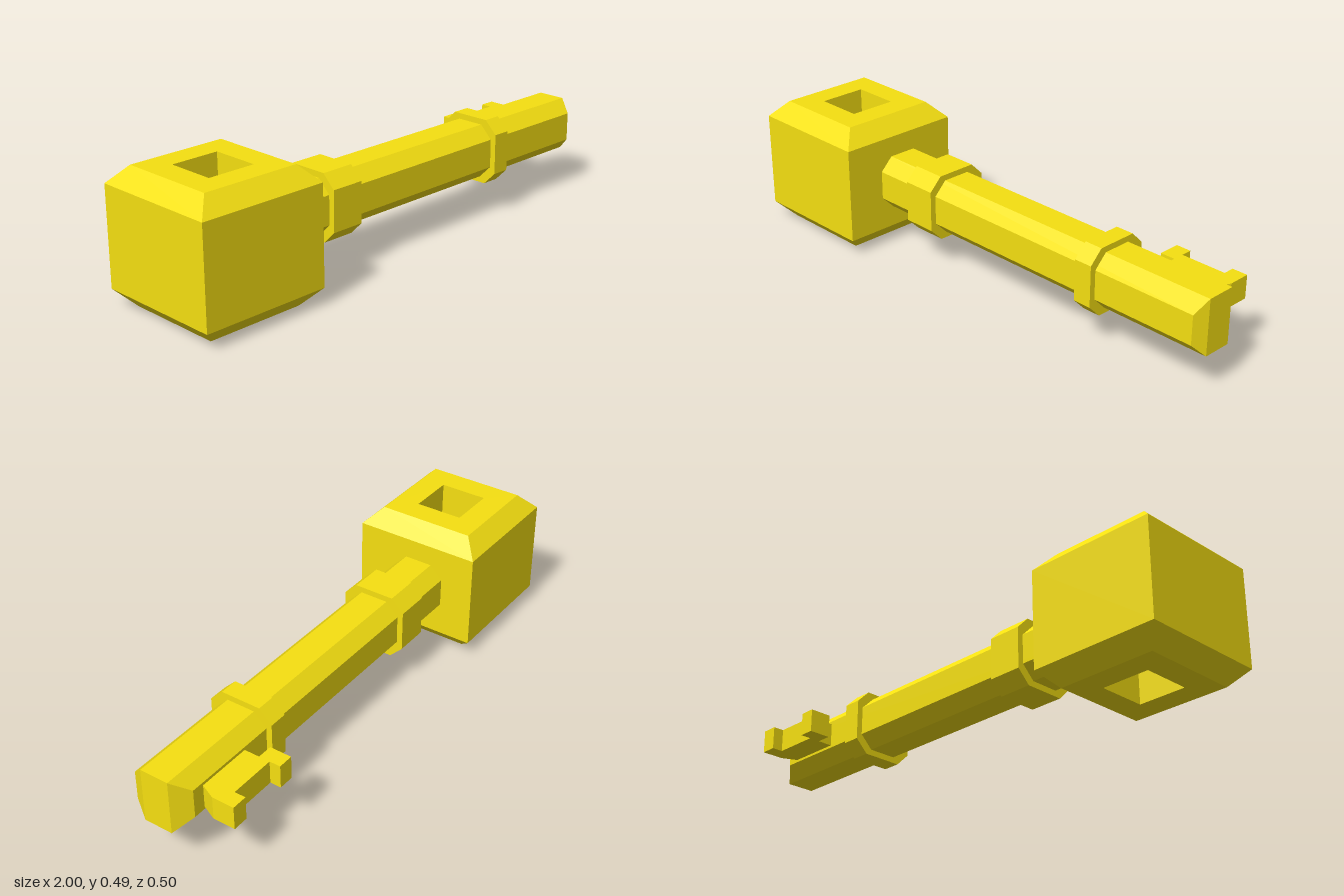
import * as THREE from 'three';
import { ConvexGeometry } from 'three/addons/geometries/ConvexGeometry.js';

export function createModel() {
  const group = new THREE.Group();
  const gold = new THREE.MeshStandardMaterial({ color: 0xf6e011, flatShading: true });

  const add = (name, geometry) => {
    const mesh = new THREE.Mesh(geometry, gold);
    mesh.name = name;
    group.add(mesh);
    return mesh;
  };

  // Chamfered-rectangle bar along x; cuts set back the end corners at front and back
  const bar = (x0, x1, half, chamfer, frontCut = 0, backCut = 0) => {
    const cy = 0.246, cz = -0.0065, flat = half - chamfer;
    const points = [];
    for (const sy of [-1, 1]) {
      for (const sz of [-1, 1]) {
        const y = cy + sy * half, z = cz + sz * half;
        const cut = sz > 0 ? frontCut : backCut;
        points.push(
          new THREE.Vector3(x0, y, cz + sz * flat),
          new THREE.Vector3(x1, y, cz + sz * flat),
          new THREE.Vector3(x0, cy + sy * flat, z),
          new THREE.Vector3(x1 - cut, cy + sy * flat, z),
        );
      }
    }
    return new ConvexGeometry(points);
  };

  // Square head with bevelled top and bottom and a square hole through it
  const profile = [
    [0.091, 0], [0.185, 0], [0.245, 0.063], [0.245, 0.428],
    [0.185, 0.49], [0.091, 0.49], [0.091, 0],
  ].map(([half, y]) => new THREE.Vector2(half * Math.SQRT2, y));
  const headGeometry = new THREE.LatheGeometry(profile, 4).rotateY(Math.PI / 4);
  add('head', headGeometry).position.set(-0.756, 0, 0.005);

  // Shaft and its two collars
  add('shaft', bar(-0.53, 1, 0.1035, 0.049, 0.025, 0.06));
  add('wideCollar', bar(-0.34, -0.21, 0.126, 0.049));
  add('narrowCollar', bar(0.5, 0.57, 0.126, 0.049));

  // Toothed bit at the back of the tip, drawn as x and depth behind the centre
  const outline = [
    [0.684, 0.08], [0.88, 0.08], [0.893, 0.11], [0.92, 0.168], [0.92, 0.252],
    [0.861, 0.252], [0.861, 0.21], [0.684, 0.21], [0.684, 0.252],
    [0.626, 0.252], [0.626, 0.168], [0.684, 0.168],
  ].map(([x, depth]) => new THREE.Vector2(x, depth));
  const bitGeometry = new THREE.ExtrudeGeometry(new THREE.Shape(outline), {
    depth: 0.088, bevelEnabled: false,
  }).rotateX(-Math.PI / 2);
  add('bit', bitGeometry).position.y = 0.201;

  return group;
}
